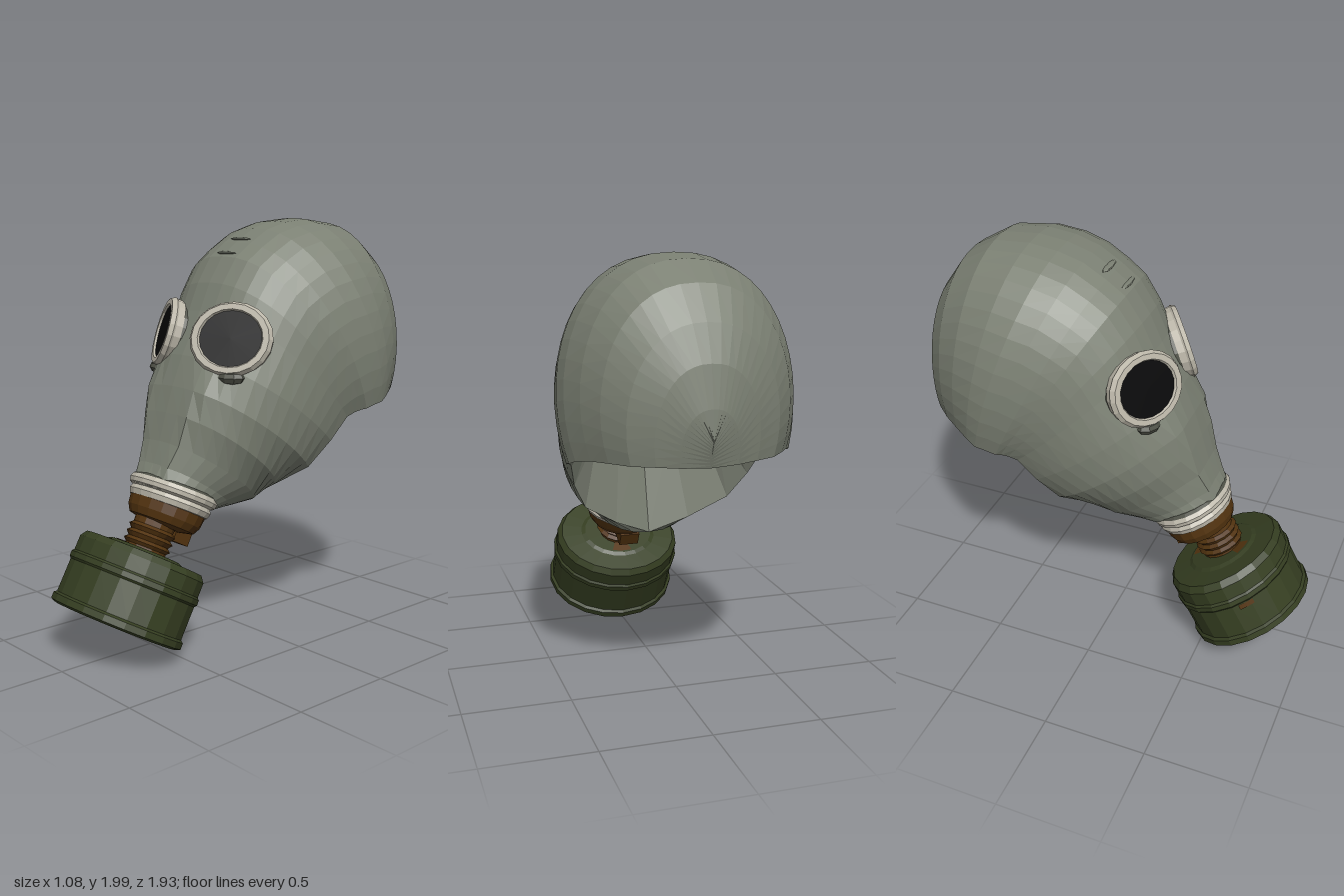
import * as THREE from 'three';

const mat = (name, color, double = false) => {
  const m = new THREE.MeshStandardMaterial({ color, flatShading: true, side: double ? THREE.DoubleSide : THREE.FrontSide });
  m.name = name;
  return m;
};

const add = (parent, name, geometry, material, x = 0, y = 0, z = 0) => {
  const mesh = new THREE.Mesh(geometry, material);
  mesh.name = name;
  mesh.position.set(x, y, z);
  parent.add(mesh);
  return mesh;
};

const lathe = (points, sides) =>
  new THREE.LatheGeometry(points.map(([r, y]) => new THREE.Vector2(r, y)), sides);

const surface = (pos, index) => {
  const g = new THREE.BufferGeometry();
  g.setAttribute('position', new THREE.Float32BufferAttribute(pos, 3));
  g.setIndex(index);
  g.computeVertexNormals();
  return g;
};

// Hood sections: ridge z, y; lower edge z, y; half width; arc each side (PI = closed)
const SECTIONS = [
  [0.53, 0.79, 0.18, 0.62, 0.20, Math.PI],
  [0.47, 0.88, 0.08, 0.62, 0.22, Math.PI],
  [0.43, 0.98, -0.06, 0.63, 0.27, Math.PI],
  [0.39, 1.11, -0.12, 0.71, 0.345, 2.65],
  [0.35, 1.23, -0.20, 0.82, 0.41, 2.15],
  [0.29, 1.37, -0.28, 0.95, 0.45, 1.95],
  [0.18, 1.57, -0.36, 1.06, 0.475, 1.9],
  [0.12, 1.70, -0.40, 1.08, 0.49, 1.9],
  [0.04, 1.82, -0.43, 1.09, 0.505, 1.9],
  [-0.05, 1.885, -0.45, 1.095, 0.52, 1.9],
  [-0.16, 1.95, -0.50, 1.11, 0.53, 1.92],
  [-0.28, 1.985, -0.55, 1.12, 0.54, 1.95],
  [-0.42, 2.00, -0.60, 1.14, 0.525, 1.97],
  [-0.60, 1.98, -0.68, 1.155, 0.48, 2.0],
  [-0.75, 1.89, -0.76, 1.16, 0.42, 2.0],
  [-0.86, 1.74, -0.84, 1.16, 0.335, 1.95],
  [-0.92, 1.58, -0.885, 1.16, 0.23, 1.9],
  [-0.95, 1.40, -0.91, 1.155, 0.13, 1.85],
  [-0.96, 1.27, -0.92, 1.15, 0, 1.8],
];

// Slightly squared-off ellipse
const widthAt = (w, a) => w * Math.sign(a) * Math.abs(Math.sin(a)) ** 0.86;

function hoodGeometry() {
  const half = 14, cols = half * 2 + 1, pos = [], index = [];
  SECTIONS.forEach(([tz, ty, bz, by, w, arc], i) => {
    for (let j = 0; j < cols; j++) {
      const a = ((j - half) / half) * arc;
      const u = (1 - Math.cos(a)) / (1 - Math.cos(arc));
      // two soft ridges running down the snout
      const ridge = i > 0 && i < 5 ? 0.02 * Math.exp(-(((Math.abs(a) - 0.42) / 0.17) ** 2)) : 0;
      pos.push(widthAt(w, a), ty + (by - ty) * u + ridge * 0.3, tz + (bz - tz) * u + ridge);
      if (i < SECTIONS.length - 1 && j < cols - 1) {
        const p = i * cols + j, q = p + cols;
        index.push(p, p + 1, q, p + 1, q + 1, q);
      }
    }
  });
  return surface(pos, index);
}

// Inner lining: a wall from the opening's edge up to an inset loop, then a shallow cap
function liningGeometry() {
  const edge = SECTIONS.slice(2).map(([, , z, y, w, arc]) => [widthAt(w, arc), y, z]);
  const loop = [...edge, ...edge.slice(1, -1).reverse().map(([x, y, z]) => [-x, y, z])];
  const pos = [0, 1.38, -0.31], index = [];
  loop.forEach(([x, y, z], i) => {
    const innerZ = 0.06 + (z + 0.06) * 0.9;
    pos.push(x, y, z, x * 0.72, 1.12 + (0.06 - innerZ) * 0.2, innerZ);
    const p = 1 + i * 2, q = 1 + ((i + 1) % loop.length) * 2;
    index.push(p, p + 1, q, q, p + 1, q + 1, p + 1, 0, q + 1);
  });
  return surface(pos, index);
}

export function createModel() {
  const rubber = mat('grey rubber', 0x7b8073, true);
  const darkRubber = mat('dark rubber', 0x4f5147, true);
  const rim = mat('pale metal', 0xbdb8aa, true);
  const glass = mat('black glass', 0x060607);
  const rust = mat('brown rust', 0x52330f, true);
  const olive = mat('olive paint', 0x353e21);

  const model = new THREE.Group();
  model.name = 'gasMask';
  add(model, 'hood', hoodGeometry(), rubber);
  add(model, 'lining', liningGeometry(), rubber);

  // Forehead wrinkles
  for (const [y, z] of [[1.835, 0.01], [1.9, -0.08]])
    add(model, 'wrinkle', new THREE.SphereGeometry(1, 8, 6), rubber, 0, y, z).scale.set(0.07, 0.008, 0.022);

  // Eyepieces
  for (const side of [1, -1]) {
    const eye = new THREE.Group();
    eye.name = side > 0 ? 'leftEyepiece' : 'rightEyepiece';
    eye.position.set(side * 0.235, 1.455, 0.195);
    eye.lookAt(side * 0.735, 1.755, 1.025);
    eye.scale.set(1.12, 0.98, 1);
    add(eye, 'eyeRim', new THREE.TorusGeometry(0.152, 0.026, 6, 20), rim);
    add(eye, 'lens', new THREE.CircleGeometry(0.145, 24), glass, 0, 0, 0.012);
    const band = new THREE.CylinderGeometry(0.174, 0.168, 0.045, 20, 1, true).rotateX(Math.PI / 2);
    add(eye, 'eyeBand', band, rim, 0, 0, -0.02);
    const skirt = new THREE.CylinderGeometry(0.162, 0.165, 0.06, 20, 1, true).rotateX(Math.PI / 2);
    add(eye, 'eyeSkirt', skirt, darkRubber, 0, 0, -0.06);
    model.add(eye);
    // fold of rubber under the eyepiece
    const fold = add(model, 'eyeFold', new THREE.SphereGeometry(1, 10, 6), darkRubber, side * 0.24, 1.283, 0.205);
    fold.scale.set(0.085, 0.04, 0.065);
  }

  // Clamp ring at the snout, with a rubber cuff above it
  const clamp = new THREE.Group();
  clamp.name = 'clamp';
  clamp.position.set(0, 0.705, 0.362);
  clamp.rotation.x = -0.47;
  clamp.scale.z = 0.85;
  add(clamp, 'clampRing', lathe([
    [0.17, -0.055], [0.21, -0.05], [0.222, -0.025], [0.212, -0.005],
    [0.232, 0.005], [0.238, 0.025], [0.228, 0.045],
  ], 20), rim);
  add(clamp, 'cuff', lathe([[0.228, 0.045], [0.215, 0.056], [0.18, 0.06]], 20), darkRubber);
  model.add(clamp);

  // Rusty connector and threaded neck
  const connector = new THREE.Group();
  connector.name = 'connector';
  connector.position.set(0, 0.705, 0.362);
  connector.rotation.x = -0.49;
  const socket = add(connector, 'socket', lathe([
    [0, -0.15], [0.1, -0.15], [0.17, -0.135], [0.19, -0.1], [0.2, -0.03],
  ], 18), rust);
  socket.scale.z = 0.9;
  add(connector, 'threadedNeck', lathe([
    [0.1, -0.34], [0.1, -0.27], [0.115, -0.255], [0.098, -0.24], [0.115, -0.22],
    [0.098, -0.205], [0.115, -0.185], [0.098, -0.17], [0.1, -0.13],
  ], 16), rust, 0, 0, 0.035);
  add(connector, 'lug', new THREE.BoxGeometry(0.1, 0.07, 0.1), rust, 0, -0.16, -0.115);
  model.add(connector);

  // Filter canister with stepped underside and raised bands
  const filter = new THREE.Group();
  filter.name = 'filter';
  filter.position.set(0, 0.305, 0.616);
  filter.rotation.x = -0.515;
  filter.scale.z = 0.9;
  add(filter, 'canister', lathe([
    [0, -0.145], [0.045, -0.145], [0.06, -0.165], [0.11, -0.165], [0.125, -0.15],
    [0.175, -0.15], [0.19, -0.17], [0.24, -0.17], [0.255, -0.155], [0.3, -0.155],
    [0.32, -0.18], [0.342, -0.17], [0.342, -0.14], [0.328, -0.13], [0.328, 0.03],
    [0.338, 0.04], [0.338, 0.065], [0.328, 0.075], [0.328, 0.145], [0.305, 0.175],
    [0.2, 0.18], [0.18, 0.19], [0, 0.19],
  ], 20), olive);
  // rust streaks on the top and side of the canister
  const streak = new THREE.RingGeometry(0.09, 0.17, 8, 1, 0, 0.6).rotateX(-Math.PI / 2);
  for (const turn of [1.2, 4.1])
    add(filter, 'rustStreak', streak, rust, 0, 0.193, 0).rotation.y = turn;
  add(filter, 'sideRust', new THREE.CylinderGeometry(0.331, 0.331, 0.025, 4, 1, true, -1.15, 0.25), rust, 0, 0.015, 0);
  model.add(filter);

  return model;
}
